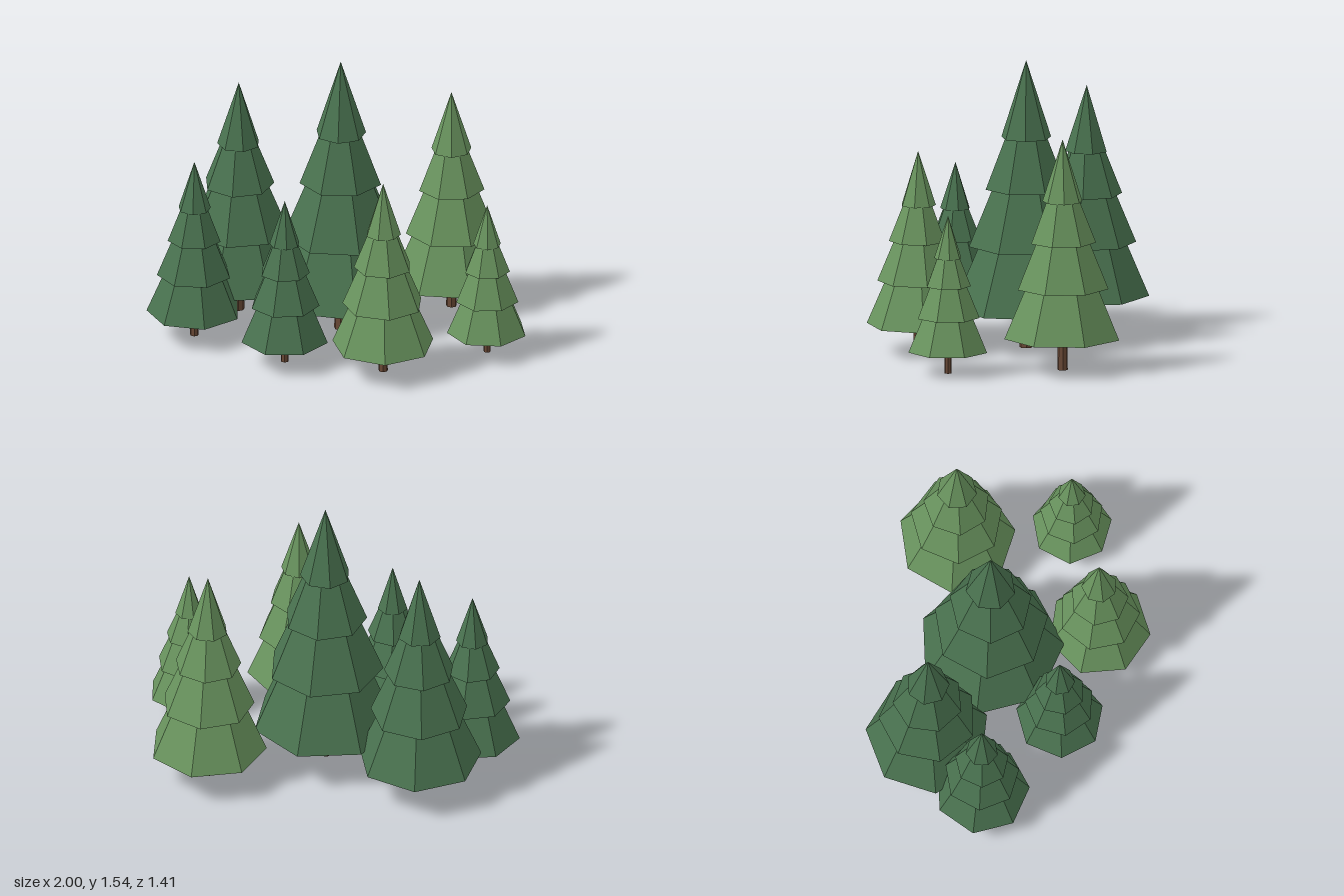
import * as THREE from 'three';

const SIDES = 7;

// Tiers as fractions of tree height, lowest first: rim height, rim radius, twist in degrees
const TIERS = [
  { y: 0.14, r: 0.252, twist: 0 },
  { y: 0.356, r: 0.199, twist: -7 },
  { y: 0.555, r: 0.143, twist: -11 },
  { y: 0.731, r: 0.087, twist: 18 },
];

// x, z, height, direction of one rim corner in degrees, foliage shade
const TREES = [
  [0.02, -0.105, 1.54, 26, 'dark'],
  [-0.52, -0.34, 1.31, 8, 'dark'],
  [-0.75, -0.008, 1.0, 25.7, 'dark'],
  [-0.27, 0.32, 0.925, 12.9, 'dark'],
  [0.25, 0.434, 1.08, 36, 'light'],
  [0.6, -0.395, 1.235, 20, 'light'],
  [0.795, 0.185, 0.845, 18, 'light'],
];

export function createModel() {
  const material = (name, color) => {
    const m = new THREE.MeshStandardMaterial({ color, flatShading: true });
    m.name = name;
    return m;
  };
  const foliage = {
    dark: material('darkGreen', 0x4a7350),
    light: material('lightGreen', 0x6a955f),
  };
  const bark = material('barkBrown', 0x6b4a37);

  const makeTree = (height, corner, leaf) => {
    const tree = new THREE.Group();

    // Trunk, ending inside the lowest tier
    const trunkTop = 0.2 * height;
    const trunk = new THREE.Mesh(
      new THREE.CylinderGeometry(0.02 * height, 0.023 * height, trunkTop, SIDES), bark);
    trunk.name = 'trunk';
    trunk.position.y = trunkTop / 2;
    tree.add(trunk);

    // Stacked foliage tiers: each narrows to fit under the one above, the last is a point
    TIERS.forEach((tier, i) => {
      const above = TIERS[i + 1];
      const topY = above ? above.y + 0.02 : 1;
      const topR = above ? above.r * 0.76 : 0;
      const h = (topY - tier.y) * height;
      const mesh = new THREE.Mesh(
        new THREE.CylinderGeometry(topR * height, tier.r * height, h, SIDES), leaf);
      mesh.name = `foliageTier${i + 1}`;
      mesh.position.y = tier.y * height + h / 2;
      mesh.rotation.y = THREE.MathUtils.degToRad(90 - corner - tier.twist);
      tree.add(mesh);
    });
    return tree;
  };

  const grove = new THREE.Group();
  grove.name = 'pineGrove';
  TREES.forEach(([x, z, height, corner, shade], i) => {
    const tree = makeTree(height, corner, foliage[shade]);
    tree.name = `pineTree${i + 1}`;
    tree.position.set(x, 0, z);
    grove.add(tree);
  });
  return grove;
}
